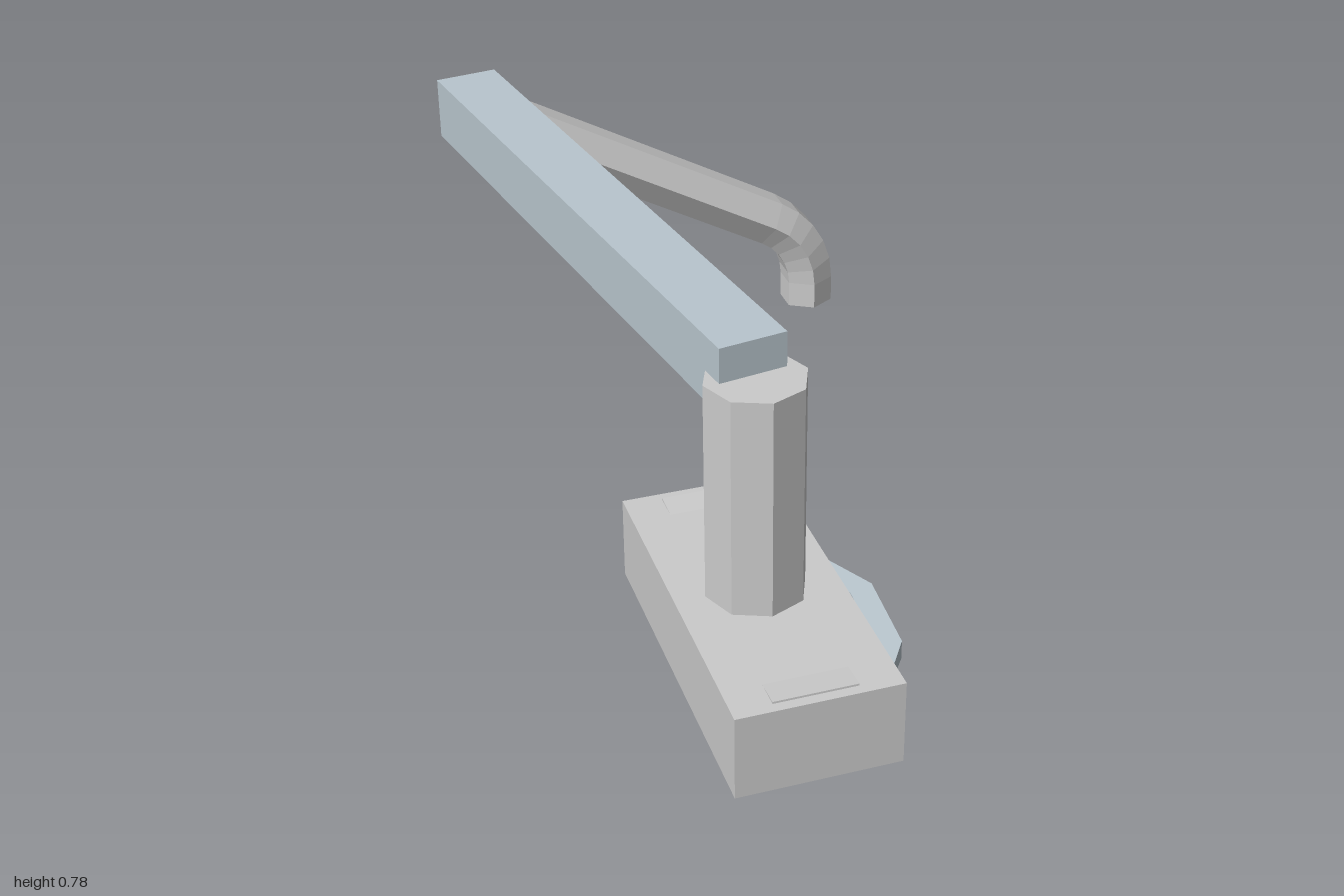
import * as THREE from 'three';

const grey = new THREE.MeshStandardMaterial({ color: 0xcccccc, flatShading: true });
const steel = new THREE.MeshStandardMaterial({ color: 0xb9c6ce, flatShading: true });

function add(parent, name, geometry, material, x = 0, y = 0, z = 0) {
  const mesh = new THREE.Mesh(geometry, material);
  mesh.name = name;
  mesh.position.set(x, y, z);
  parent.add(mesh);
  return mesh;
}

const rect = (Type, x0, y0, x1, y1) =>
  new Type([[x0, y0], [x1, y0], [x1, y1], [x0, y1]].map(p => new THREE.Vector2(...p)));

// Outline in (x, -z), extruded upwards from the ground
function plan(shape, height) {
  return new THREE.ExtrudeGeometry(shape, { depth: height, bevelEnabled: false }).rotateX(-Math.PI / 2);
}

// Hexagonal pipe: straight foot, arc, then a straight run up to the arm
function bentPipe() {
  const arcSteps = 5, rows = arcSteps + 2;
  const radius = 0.215, footX = 0.463, bendY = 0.07, bend = 1.073, run = 0.915;
  const geometry = new THREE.CylinderGeometry(0.0715, 0.0715, 1, 6, rows);
  const p = geometry.attributes.position;
  for (let i = 0; i < p.count; i++) {
    const row = Math.round((p.getY(i) + 0.5) * rows);
    const a = bend * THREE.MathUtils.clamp((row - 1) / arcSteps, 0, 1);
    let cx = footX - radius * (1 - Math.cos(a));
    let cy = bendY + radius * Math.sin(a);
    if (row === 0) cy = 0;
    if (row === rows) {
      cx -= Math.sin(bend) * run;
      cy += Math.cos(bend) * run;
    }
    const side = p.getX(i);
    p.setXY(i, cx + side * Math.cos(a), cy + side * Math.sin(a));
  }
  geometry.computeVertexNormals();
  return geometry;
}

// Angular grip whose height climbs towards the back
function gripGeometry() {
  const outline = [[-0.02, 0.86], [0.1, 0.69], [0.1, 0.51], [-0.02, 0.34],
    [-0.02, 0.43], [0.045, 0.525], [0.045, 0.675], [-0.02, 0.77]];
  const shape = new THREE.Shape(outline.map(([x, z]) => new THREE.Vector2(x, -z)));
  const geometry = plan(shape, 0.05);
  const p = geometry.attributes.position;
  for (let i = 0; i < p.count; i++) {
    const top = 0.02 + (0.86 - p.getZ(i)) * 0.155;
    p.setY(i, Math.max(0, top - 0.05 + p.getY(i)));
  }
  geometry.computeVertexNormals();
  return geometry;
}

export function createModel() {
  const model = new THREE.Group();
  model.name = 'postWithArm';

  // Base block, with two pockets opening downwards
  const base = new THREE.Group();
  base.name = 'base';
  model.add(base);
  const body = rect(THREE.Shape, -0.375, -1, -0.02, -0.2);
  body.holes.push(rect(THREE.Path, -0.29, -0.38, -0.11, -0.22));
  body.holes.push(rect(THREE.Path, -0.29, -0.98, -0.11, -0.82));
  add(base, 'baseBody', plan(body, 0.185), grey);
  add(base, 'baseTop', new THREE.BoxGeometry(0.355, 0.01, 0.8), grey, -0.1975, 0.19, 0.6);

  // Tilted plates, outer edges just proud of the base top
  for (const s of [-1, 1]) {
    const plate = add(base, s > 0 ? 'frontPlate' : 'backPlate',
      new THREE.BoxGeometry(0.18, 0.012, 0.155), grey, -0.2, 0.188, 0.6 + s * 0.3);
    plate.rotation.x = -s * 0.07;
  }

  // Octagonal post
  add(model, 'post', new THREE.CylinderGeometry(0.11, 0.11, 0.7, 8), grey, -0.198, 0.351, 0.6);

  // Long square arm, angled in plan
  const arm = add(model, 'arm', new THREE.BoxGeometry(0.152, 0.15, 1.545), steel, -0.325, 0.705, -0.17);
  arm.rotation.y = Math.atan2(0.25, 1.525);

  // Sloping pipe with a foot bent down to the ground
  add(model, 'pipe', bentPipe(), grey, 0, 0, -0.9285);

  // Side grip
  add(model, 'grip', gripGeometry(), steel);

  return model;
}
